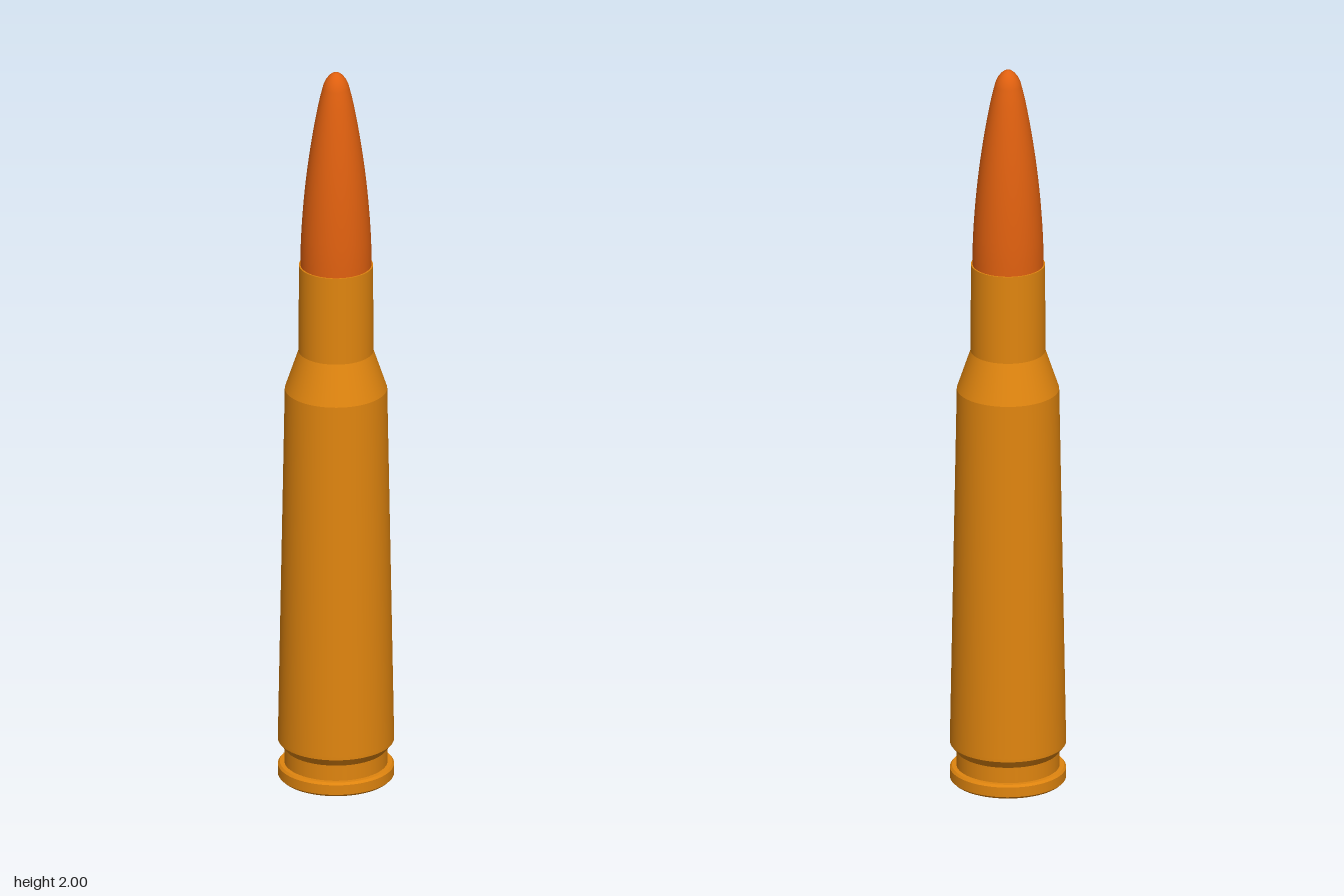
import * as THREE from 'three';
import { mergeGeometries } from 'three/addons/utils/BufferGeometryUtils.js';

const SEGMENTS = 64;

// Smooth surface of revolution through [radius, y] points, listed bottom to top
function turned(points) {
  return new THREE.LatheGeometry(points.map(([r, y]) => new THREE.Vector2(r, y)), SEGMENTS);
}

// Revolved profile with a sharp edge at every point
function turnedSharp(points) {
  return mergeGeometries(points.slice(1).map((p, i) => turned([points[i], p])));
}

function addPart(group, name, geometry, color) {
  const mesh = new THREE.Mesh(geometry, new THREE.MeshStandardMaterial({ color }));
  mesh.name = name;
  group.add(mesh);
}

export function createModel() {
  const group = new THREE.Group();
  group.name = 'cartridge';

  // Case: rim, extractor groove, tapered body, shoulder, neck and mouth
  addPart(group, 'case', turnedSharp([
    [0, 0.008], [0.146, 0.008], [0.152, 0.014], [0.152, 0.041], [0.147, 0.047],
    [0.135, 0.047], [0.135, 0.09], [0.152, 0.112], [0.152, 0.12],
    [0.134, 1.105], [0.098, 1.212], [0.097, 1.455], [0.091, 1.455],
  ]), 0xe0850f);

  // Pointed bullet: curved ogive with a small rounded nose
  const ogive = new THREE.SplineCurve([
    [0.093, 1.44], [0.092, 1.52], [0.086, 1.62], [0.076, 1.72],
    [0.062, 1.82], [0.046, 1.91], [0.033, 1.965],
  ].map(([r, y]) => new THREE.Vector2(r, y))).getPoints(24).map(p => [p.x, p.y]);
  addPart(group, 'bullet', turned([
    ...ogive, [0.027, 1.979], [0.018, 1.991], [0.009, 1.998], [0, 2],
  ]), 0xe0600f);

  // Primer set in the base
  addPart(group, 'primer', turnedSharp([
    [0, 0], [0.034, 0], [0.037, 0.003], [0.037, 0.012],
  ]), 0x888888);

  return group;
}
